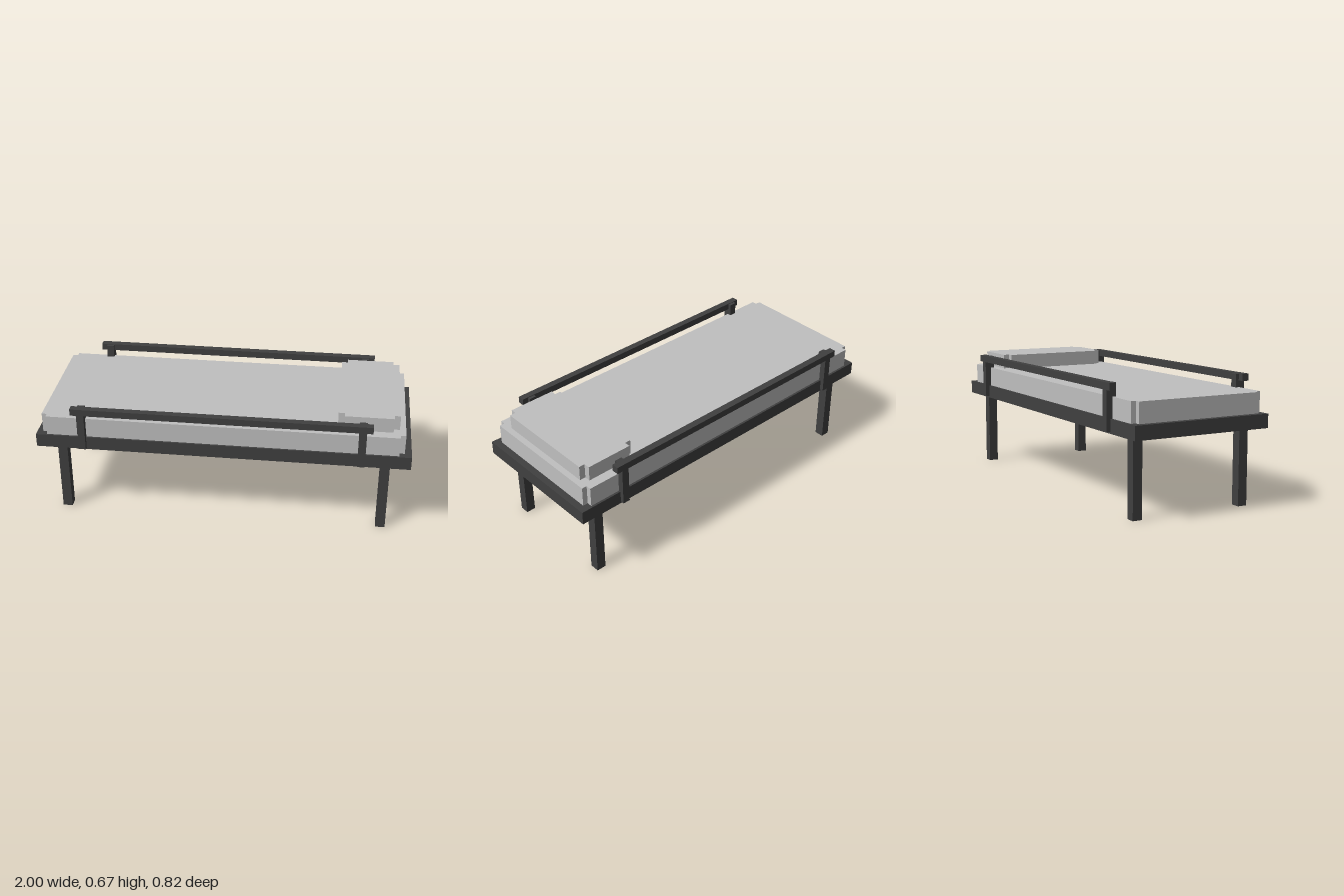
import * as THREE from 'three';

export function createModel() {
  const bed = new THREE.Group();
  bed.name = 'bed';
  const frameDark = new THREE.MeshStandardMaterial({ color: 0x404040 });
  frameDark.name = 'frame dark grey';
  const beddingLight = new THREE.MeshStandardMaterial({ color: 0xc0c0c0 });
  beddingLight.name = 'bedding light grey';

  const add = (name, geometry, material) => {
    const mesh = new THREE.Mesh(geometry, material);
    mesh.name = name;
    bed.add(mesh);
    return mesh;
  };

  // Box given by its extents on each axis
  const box = (name, [x0, x1], [y0, y1], [z0, z1]) =>
    add(name, new THREE.BoxGeometry(x1 - x0, y1 - y0, z1 - z0), frameDark)
      .position.set((x0 + x1) / 2, (y0 + y1) / 2, (z0 + z1) / 2);

  // Cushion with a square notch cut from each corner
  const cushion = (name, [x0, x1], [y0, y1], [z0, z1], notch) => {
    const a = (x1 - x0) / 2, b = (z1 - z0) / 2, n = notch;
    const outline = [
      [a, n - b], [a, b - n], [a - n, b - n], [a - n, b], [n - a, b], [n - a, b - n],
      [-a, b - n], [-a, n - b], [n - a, n - b], [n - a, -b], [a - n, -b], [a - n, n - b],
    ].map(([x, y]) => new THREE.Vector2(x, y));
    const geometry = new THREE.ExtrudeGeometry(new THREE.Shape(outline), { depth: y1 - y0, bevelEnabled: false });
    geometry.rotateX(-Math.PI / 2);
    add(name, geometry, beddingLight).position.set((x0 + x1) / 2, y0, (z0 + z1) / 2);
  };

  box('bedFrame', [-1, 1], [0.412, 0.485], [-0.386, 0.388]);
  cushion('mattress', [-0.969, 0.963], [0.485, 0.593], [-0.374, 0.378], 0.028);
  cushion('pillow', [0.608, 0.93], [0.593, 0.674], [-0.321, 0.324], 0.033);

  // Legs
  for (const x of [-0.873, 0.868])
    for (const z of [-0.311, 0.313])
      box('leg', [x - 0.026, x + 0.026], [0, 0.412], [z - 0.026, z + 0.026]);

  // Side rails, each on two posts
  for (const [side, rail, post] of [
    ['front', [0.375, 0.412], [0.357, 0.409]],
    ['back', [-0.41, -0.372], [-0.407, -0.354]],
  ]) {
    box(side + 'Rail', [-0.797, 0.792], [0.628, 0.665], rail);
    for (const x of [-0.745, 0.74])
      box(side + 'RailPost', [x - 0.02, x + 0.02], [0.422, 0.662], post);
  }
  return bed;
}
